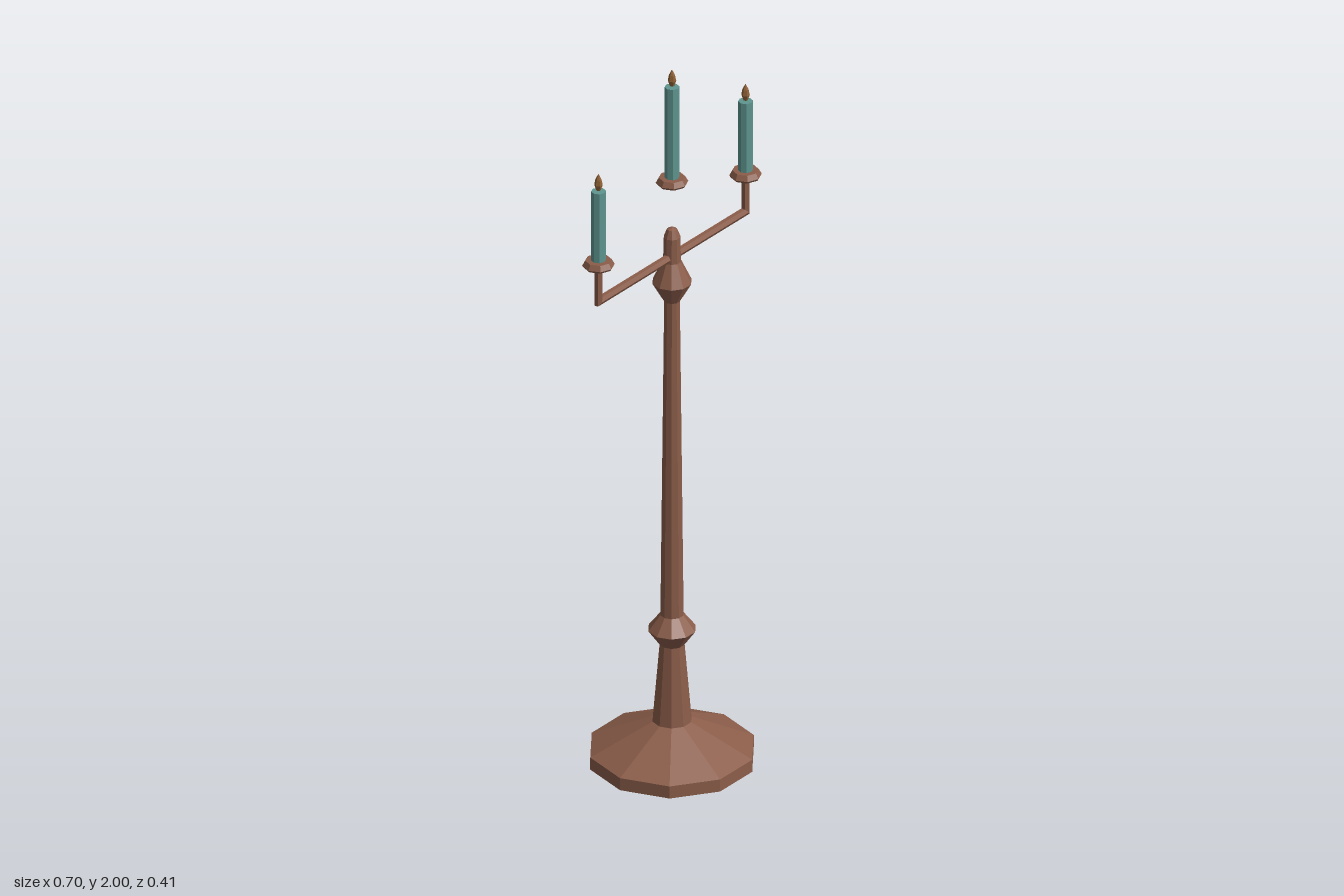
import * as THREE from 'three';

const bronze = new THREE.MeshStandardMaterial({ name: 'bronze', color: 0x8b5d4a, flatShading: true });
const wax = new THREE.MeshStandardMaterial({ name: 'tealWax', color: 0x5f9690, flatShading: true });
const fire = new THREE.MeshStandardMaterial({ name: 'flame', color: 0x8f6136, flatShading: true });

const ARM_X = 0.308, ARM_Y = 1.458, ARM_R = 0.0115;

function addMesh(parent, name, geometry, material) {
  const mesh = new THREE.Mesh(geometry, material);
  mesh.name = name;
  parent.add(mesh);
  return mesh;
}

// Faceted turned part from [radius, height] pairs, with a corner on the x axis
function turned(points, sides) {
  const profile = points.map(([r, y]) => new THREE.Vector2(r, y));
  return new THREE.LatheGeometry(profile, sides).rotateY(Math.PI / 2);
}

function moveVertices(geometry, rule) {
  const p = geometry.attributes.position;
  const v = new THREE.Vector3();
  for (let i = 0; i < p.count; i++) {
    rule(v.fromBufferAttribute(p, i));
    p.setXYZ(i, v.x, v.y, v.z);
  }
  geometry.computeVertexNormals();
  return geometry;
}

// Drip pan, candle, wax drip and flame; y = 0 is the underside of the pan
function candle(name, height, dripSide, dripY) {
  const group = new THREE.Group();
  group.name = name;
  const panTop = 0.02;
  const top = panTop + height;
  addMesh(group, 'dripPan', turned([[0, 0], [0.038, 0], [0.042, 0.006], [0.034, panTop], [0, panTop]], 8), bronze);
  addMesh(group, 'candleStick', turned([[0, panTop - 0.002], [0.019, panTop - 0.002], [0.019, top], [0, top]], 8), wax);
  addMesh(group, 'waxDrip', new THREE.BoxGeometry(0.008, 0.02, 0.008), wax)
    .position.set(dripSide * 0.017, dripY, 0);
  addMesh(group, 'flame', turned([[0, top], [0.006, top + 0.003], [0.011, top + 0.018], [0.008, top + 0.034], [0, top + 0.05]], 6), fire);
  return group;
}

export function createModel() {
  const model = new THREE.Group();
  model.name = 'candelabra';

  // Foot
  addMesh(model, 'foot', turned([[0, 0], [0.218, 0], [0.218, 0.035], [0.05, 0.115]], 10), bronze);

  // Column with lower and upper knobs and a rounded finial
  addMesh(model, 'column', turned([
    [0.052, 0.113], [0.033, 0.335], [0.063, 0.378], [0.031, 0.42],
    [0.021, 1.33], [0.052, 1.385], [0.024, 1.445],
    [0.022, 1.515], [0.013, 1.537], [0, 1.542],
  ], 10), bronze);

  // Crossbar with mitred ends
  const bar = new THREE.CylinderGeometry(ARM_R, ARM_R, 2 * ARM_X, 6, 1, true).rotateZ(Math.PI / 2);
  moveVertices(bar, v => { v.x = Math.sign(v.x) * (ARM_X - v.y); });
  addMesh(model, 'crossbar', bar, bronze).position.y = ARM_Y;

  for (const side of [-1, 1]) {
    // Upright at the end of the arm, meeting the mitre
    const post = new THREE.CylinderGeometry(ARM_R, ARM_R, 0.087, 6).translate(0, 0.0435, 0);
    moveVertices(post, v => { if (v.y < 0.01) v.y = -side * v.x; });
    addMesh(model, side > 0 ? 'leftUpright' : 'rightUpright', post, bronze)
      .position.set(side * ARM_X, ARM_Y, 0);

    const sideCandle = candle(side > 0 ? 'leftCandle' : 'rightCandle', 0.2, 1, 0.147);
    sideCandle.position.set(side * ARM_X, 1.558, 0);
    model.add(sideCandle);
  }

  // Taller middle candle, floating above the finial
  const middle = candle('middleCandle', 0.262, 1, 0.195);
  middle.position.y = 1.668;
  model.add(middle);

  return model;
}
